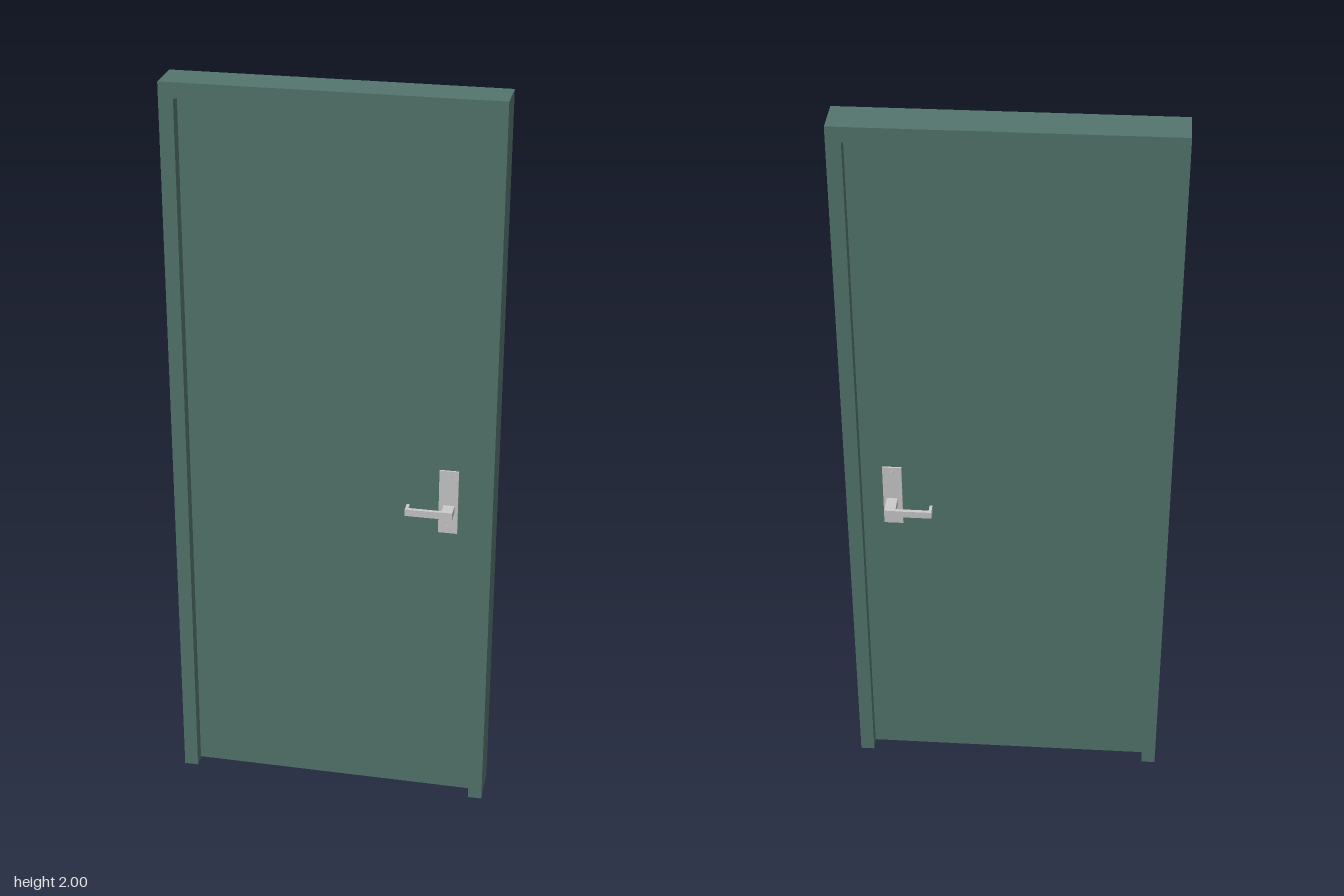
import * as THREE from 'three';

const green = new THREE.MeshStandardMaterial({ color: 0x54756e, flatShading: true });
const grey = new THREE.MeshStandardMaterial({ color: 0xcccccc, flatShading: true });

function add(parent, name, geometry, material, x, y, z) {
  const mesh = new THREE.Mesh(geometry, material);
  mesh.name = name;
  mesh.position.set(x, y, z);
  parent.add(mesh);
  return mesh;
}

// Box given by its minimum and maximum corners
function block(parent, name, material, a, b) {
  const size = a.map((v, i) => b[i] - v);
  const mid = a.map((v, i) => (v + b[i]) / 2);
  return add(parent, name, new THREE.BoxGeometry(...size), material, ...mid);
}

// Handle set: side is +1 for the front, -1 for the back
function makeHandle(side, face, reach) {
  const handle = new THREE.Group();
  handle.name = side > 0 ? 'frontHandle' : 'backHandle';
  const part = (name, x0, x1, y0, y1, d0, d1) => {
    const z = [side * d0, side * d1].sort((p, q) => p - q);
    block(handle, name, grey, [x0, y0, z[0]], [x1, y1, z[1]]);
  };
  part('backplate', 0.282, 0.333, 0.818, 1.0, face, face + 0.005);
  part('spindle', 0.295, 0.324, 0.879, 0.9, face, reach);
  part('lever', 0.199, 0.295, 0.88, 0.899, reach - 0.01, reach);
  part('leverReturn', 0.199, 0.207, 0.88, 0.899, reach - 0.032, reach - 0.01);

  // Fixing screws on the plate
  for (const y of [0.836, 0.982]) {
    const screw = add(handle, 'screw', new THREE.CylinderGeometry(0.006, 0.006, 0.002, 12),
      grey, 0.3075, y, side * (face + 0.0055));
    screw.rotation.x = Math.PI / 2;
  }
  return handle;
}

export function createModel() {
  const door = new THREE.Group();
  door.name = 'door';

  // Frame: two jambs and a head in one outline
  const outer = 0.428, inner = 0.39, top = 2, head = 1.96;
  const outline = new THREE.Shape([
    [-outer, 0], [-inner, 0], [-inner, head], [inner, head],
    [inner, 0], [outer, 0], [outer, top], [-outer, top],
  ].map(([x, y]) => new THREE.Vector2(x, y)));
  const frame = new THREE.ExtrudeGeometry(outline, { depth: 0.108, bevelEnabled: false });
  add(door, 'frame', frame, green, 0, 0, -0.048);

  // Leaf, recessed on both sides
  const front = 0.026, back = 0.015;
  block(door, 'leaf', green, [-inner, 0.005, -back], [inner, head, front]);

  door.add(makeHandle(1, front, 0.073), makeHandle(-1, back, 0.076));
  return door;
}
